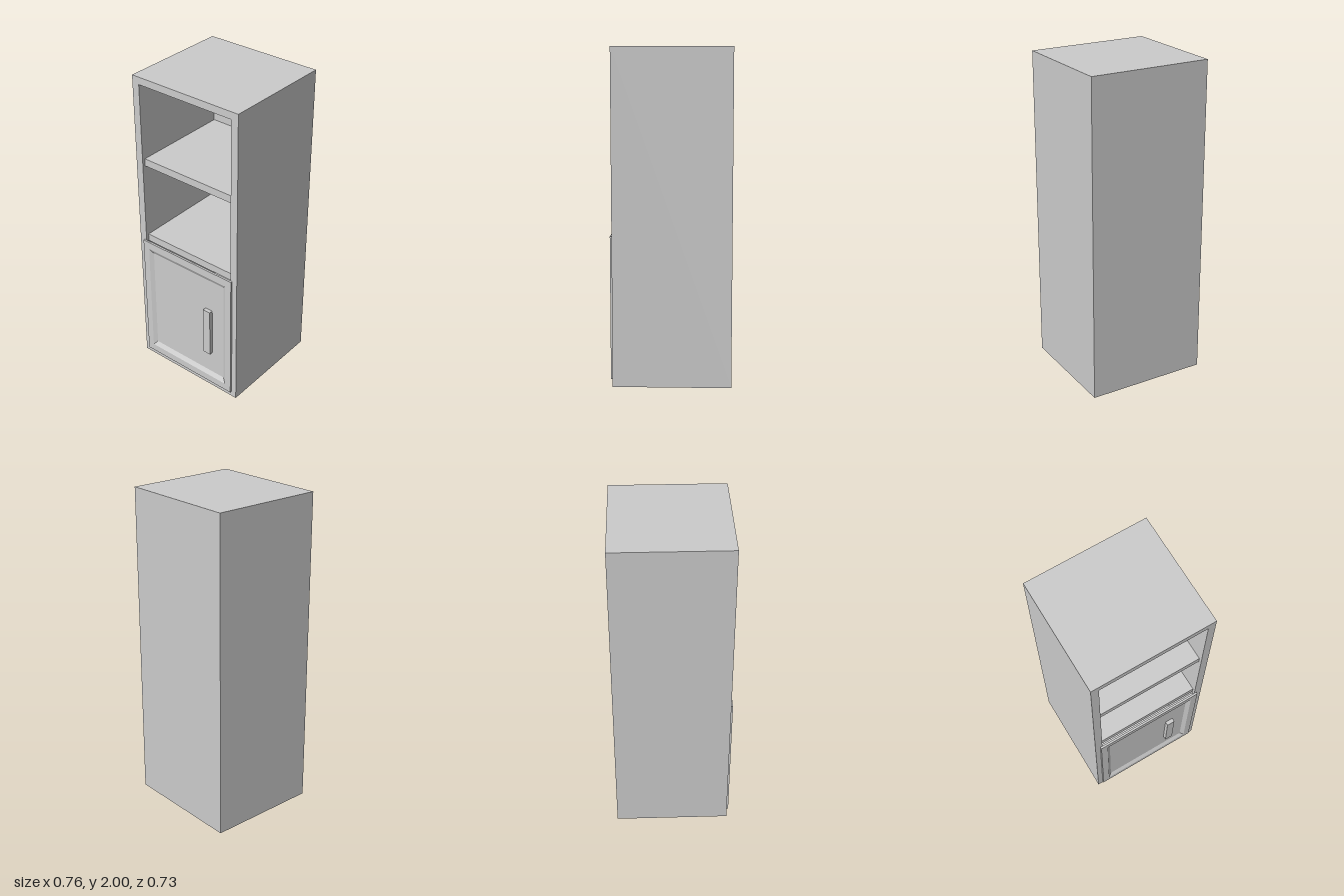
import * as THREE from 'three';

const material = new THREE.MeshStandardMaterial({ color: 0xcccccc });

// Skin through rectangular rings [halfWidth, y0, y1, z], closed at both ends, flat faces
function ringLoft(rings) {
  const loops = rings.map(([w, y0, y1, z]) => [[-w, y0, z], [w, y0, z], [w, y1, z], [-w, y1, z]]);
  const pos = [];
  const quad = (a, b, c, d) => pos.push(...a, ...b, ...c, ...a, ...c, ...d);
  const first = loops[0], last = loops[loops.length - 1];
  quad(first[3], first[2], first[1], first[0]);
  for (let k = 0; k < loops.length - 1; k++) {
    for (let i = 0; i < 4; i++) {
      const j = (i + 1) % 4;
      quad(loops[k][i], loops[k][j], loops[k + 1][j], loops[k + 1][i]);
    }
  }
  quad(...last);
  const geo = new THREE.BufferGeometry();
  geo.setAttribute('position', new THREE.Float32BufferAttribute(pos, 3));
  geo.computeVertexNormals();
  return geo;
}

// Box given by its extents
function boxGeo(x0, x1, y0, y1, z0, z1) {
  return new THREE.BoxGeometry(x1 - x0, y1 - y0, z1 - z0)
    .translate((x0 + x1) / 2, (y0 + y1) / 2, (z0 + z1) / 2);
}

export function createModel() {
  const model = new THREE.Group();
  model.name = 'cabinet';
  const add = (name, geo, parent = model) => {
    const mesh = new THREE.Mesh(geo, material);
    mesh.name = name;
    parent.add(mesh);
  };

  const back = -0.364, front = 0.34, innerBack = -0.318;

  // Carcass: hollow case open at the front
  add('carcass', ringLoft([
    [0.38, 0, 2, back],
    [0.38, 0, 2, front],
    [0.332, 0.047, 1.954, front],
    [0.332, 0.047, 1.954, innerBack],
  ]));

  // Shelves, set back slightly from the front edge
  [['lowerShelf', 0.885], ['upperShelf', 1.419]].forEach(([name, y]) =>
    add(name, boxGeo(-0.332, 0.332, y, y + 0.048, innerBack, 0.32)));

  // Door with a bevelled, sunken panel and an upright handle
  const door = new THREE.Group();
  door.name = 'door';
  model.add(door);
  add('doorPanel', ringLoft([
    [0.328, 0.05, 0.88, 0.325],
    [0.328, 0.05, 0.88, front],
    [0.346, 0.036, 0.9, front],
    [0.346, 0.036, 0.9, 0.353],
    [0.302, 0.084, 0.85, 0.353],
    [0.278, 0.112, 0.82, 0.337],
  ]), door);
  add('handle', boxGeo(0.138, 0.19, 0.27, 0.6, 0.335, 0.362), door);

  return model;
}
